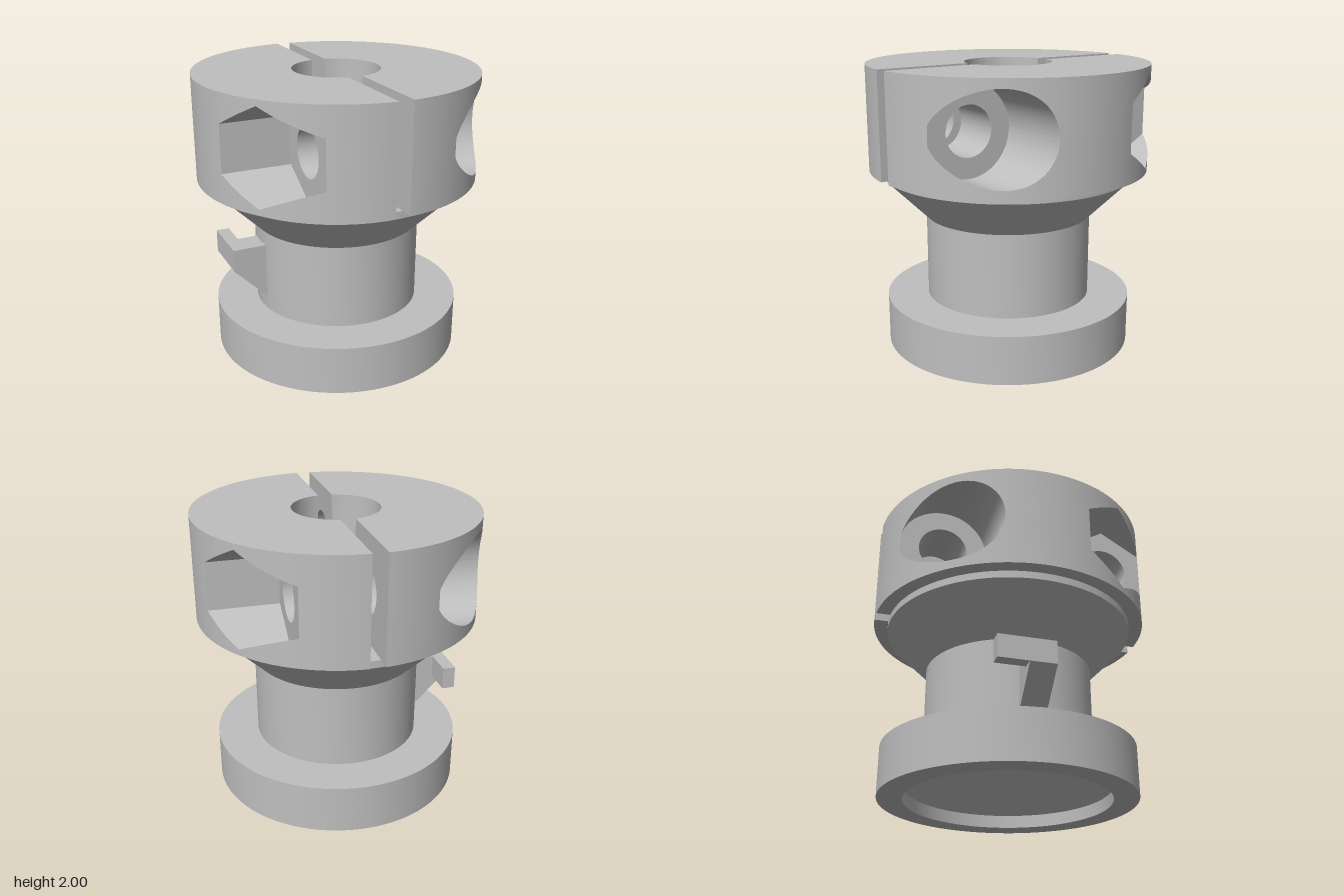
import * as THREE from 'three';
import { toCreasedNormals } from 'three/addons/utils/BufferGeometryUtils.js';

const R = 0.975, BORE = 0.303, GAP = 0.05;   // collar radius, bore radius, half slot width
const Y0 = 1.27, Y1 = 2, YC = 1.635;         // collar bottom, top, screw height
const SCREW_R = 0.168;

const steel = new THREE.MeshStandardMaterial({ color: 0xbfbfbf, side: THREE.DoubleSide });
steel.name = 'steel grey';

// screw pockets: centre distance z, half width w, half height h(dz), floor position x
const roundPocket = { z: 0.587, w: 0.304, side: 1, floor: 0.41, h: d => Math.sqrt(Math.max(0, 0.304 ** 2 - d * d)) };
const hexPocket = { z: 0.583, w: 0.281, side: -1, floor: 0.46, h: d => 0.325 - Math.abs(d) / Math.sqrt(3) };

const outerX = z => Math.sqrt(Math.max(0, R * R - z * z));

function add(group, name, geometry) {
  const mesh = new THREE.Mesh(geometry, steel);
  mesh.name = name;
  group.add(mesh);
  return mesh;
}

// ribbon of quads between two polylines of [x, y, z]
function ribbon(a, b) {
  const pos = [], index = [];
  a.forEach((p, i) => {
    pos.push(...p, ...b[i]);
    if (i) index.push(2 * i - 2, 2 * i - 1, 2 * i, 2 * i, 2 * i - 1, 2 * i + 1);
  });
  const g = new THREE.BufferGeometry();
  g.setAttribute('position', new THREE.Float32BufferAttribute(pos, 3));
  g.setIndex(index);
  g.computeVertexNormals();
  return toCreasedNormals(g, 0.5);
}

// outline samples [z, h] across a pocket, cut off where the floor leaves the collar
function pocketSamples(p, n = 40) {
  const limit = Math.sqrt(R * R - p.floor * p.floor);
  const list = [];
  for (let i = 0; i <= n; i++) {
    const z = Math.min(limit, p.z - p.w * Math.cos(Math.PI * i / n));
    list.push([p.side * z, p.h(z - p.z)]);
  }
  return list;
}

// flat shape drawn in (z, y) and placed at x
function sideFace(shape, x) {
  return new THREE.ShapeGeometry(shape, 40).rotateY(-Math.PI / 2).translate(x, 0, 0);
}

function screwHole(z) {
  return new THREE.Path().absarc(z, YC, SCREW_R, 0, Math.PI * 2, true);
}

function addPocket(group, p) {
  const s = pocketSamples(p);
  for (const k of [1, -1]) {
    add(group, 'pocketWall', ribbon(
      s.map(([z, h]) => [outerX(z), YC + k * h, z]),
      s.map(([z, h]) => [p.floor, YC + k * h, z])));
  }
  // flat wall nearest the axis
  const [z, h] = s[0];
  if (h > 0.01) add(group, 'pocketEnd', ribbon(
    [[outerX(z), YC - h, z], [outerX(z), YC + h, z]],
    [[p.floor, YC - h, z], [p.floor, YC + h, z]]));
  // floor with the screw hole
  const outline = [...s.map(([a, b]) => new THREE.Vector2(a, YC + b)),
    ...s.slice().reverse().map(([a, b]) => new THREE.Vector2(a, YC - b))];
  const floor = new THREE.Shape(outline);
  floor.holes.push(screwHole(p.side * p.z));
  add(group, 'pocketFloor', sideFace(floor, p.floor));
  // screw hole to the slot
  const len = p.floor - GAP;
  add(group, 'screwHole', new THREE.CylinderGeometry(SCREW_R, SCREW_R, len, 48, 1, true)
    .rotateZ(Math.PI / 2).translate(GAP + len / 2, YC, p.side * p.z));
}

function collarHalf() {
  const g = new THREE.Group();
  g.name = 'collarHalf';

  // outer wall in columns [z, half height of opening]
  const zMax = Math.sqrt(R * R - GAP * GAP);
  const arc = (z0, z1, n) => Array.from({ length: n + 1 }, (_, i) => {
    const t0 = Math.asin(z0 / R), t1 = Math.asin(z1 / R);
    return [R * Math.sin(t0 + (t1 - t0) * i / n), 0];
  });
  const back = pocketSamples(hexPocket).reverse(), front = pocketSamples(roundPocket);
  const last = a => a[a.length - 1][0];
  const cols = [...arc(-zMax, back[0][0], 16), ...back,
    ...arc(last(back), front[0][0], 20), ...front, ...arc(last(front), zMax, 16)];
  add(g, 'outerWallLower', ribbon(
    cols.map(([z, h]) => [outerX(z), YC - h, z]), cols.map(([z]) => [outerX(z), Y0, z])));
  add(g, 'outerWallUpper', ribbon(
    cols.map(([z]) => [outerX(z), Y1, z]), cols.map(([z, h]) => [outerX(z), YC + h, z])));

  // top and bottom faces
  const a = Math.asin(GAP / R), b = Math.asin(GAP / BORE), q = Math.PI / 2;
  const ring = new THREE.Shape();
  ring.absarc(0, 0, R, a - q, q - a, false);
  ring.absarc(0, 0, BORE, q - b, b - q, true);
  add(g, 'topFace', new THREE.ShapeGeometry(ring, 96).rotateX(-q).translate(0, Y1, 0));
  add(g, 'bottomFace', new THREE.ShapeGeometry(ring, 96).rotateX(q).translate(0, Y0, 0));

  // bore wall and slot faces
  add(g, 'boreWall', new THREE.CylinderGeometry(BORE, BORE, Y1 - Y0, 48, 1, true, b, Math.PI - 2 * b)
    .translate(0, (Y0 + Y1) / 2, 0));
  const zIn = Math.sqrt(BORE * BORE - GAP * GAP);
  for (const p of [roundPocket, hexPocket]) {
    const face = new THREE.Shape([[zIn, Y0], [zMax, Y0], [zMax, Y1], [zIn, Y1]]
      .map(([z, y]) => new THREE.Vector2(p.side * z, y)));
    face.holes.push(screwHole(p.side * p.z));
    add(g, 'slotFace', sideFace(face, GAP));
    addPocket(g, p);
  }
  return g;
}

export function createModel() {
  const model = new THREE.Group();
  model.name = 'clampHub';

  // turned body: flange, neck, flare, bore and conical recess underneath
  const profile = [[0.705, 0], [0.877, 0], [0.877, 0.34], [0.585, 0.34], [0.585, 0.93], [0.877, 1.22],
    [0.877, Y0], [BORE, Y0], [BORE, 0.5], [0.705, 0.09], [0.705, 0]];
  add(model, 'body', toCreasedNormals(
    new THREE.LatheGeometry(profile.map(([r, y]) => new THREE.Vector2(r, y)), 96), 0.5));

  // two identical clamp halves, turned half a circle apart
  for (const angle of [0, Math.PI]) {
    const half = collarHalf();
    half.rotation.y = angle;
    model.add(half);
  }

  // hook on the neck: sloped stem and side arm
  const stem = new THREE.Shape([[-0.5, 0.44], [-0.5, 0.83], [-0.81, 0.83], [-0.81, 0.67], [-0.58, 0.44]]
    .map(([x, y]) => new THREE.Vector2(x, y)));
  add(model, 'hookStem', new THREE.ExtrudeGeometry(stem, { depth: 0.18, bevelEnabled: false })
    .translate(0, 0, -0.09));
  add(model, 'hookArm', new THREE.BoxGeometry(0.09, 0.16, 0.22)).position.set(-0.765, 0.75, -0.19);

  return model;
}
